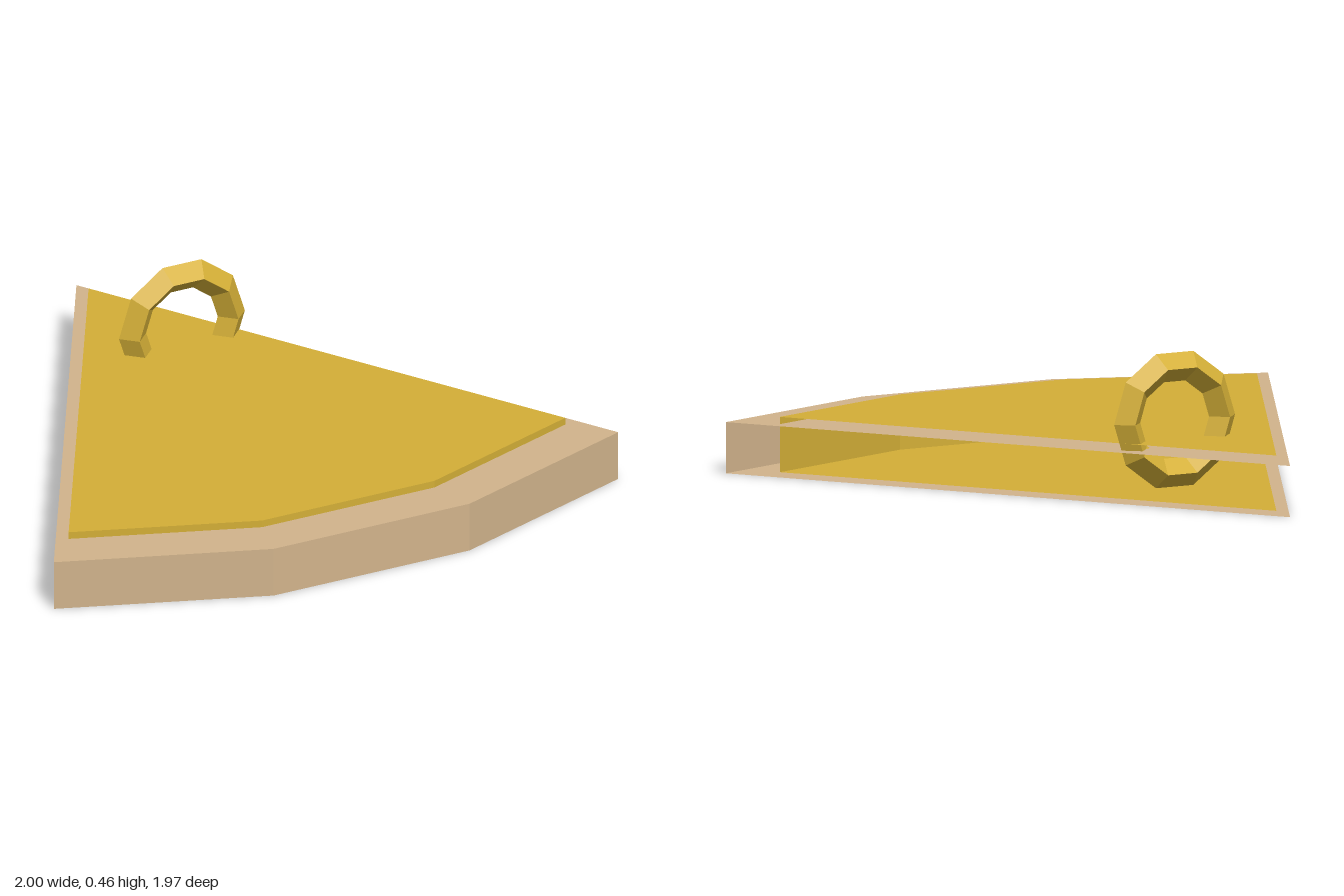
import * as THREE from 'three';

const tan = new THREE.MeshStandardMaterial({ color: 0xd2b48c, flatShading: true, side: THREE.DoubleSide });
tan.name = 'crust tan';
const gold = new THREE.MeshStandardMaterial({ color: 0xd4af37, flatShading: true, side: THREE.DoubleSide });
gold.name = 'filling gold';

// Sixty-degree slice of a low-poly drum: curved wall and two caps, cut sides left open
function wedge(name, radius, bottom, top, tipZ, material) {
  const geometry = new THREE.CylinderGeometry(radius, radius, top - bottom, 3, 1, false, -Math.PI / 6, Math.PI / 3);
  const mesh = new THREE.Mesh(geometry, material);
  mesh.name = name;
  mesh.position.set(0, (top + bottom) / 2, tipZ);
  return mesh;
}

export function createModel() {
  const group = new THREE.Group();
  group.name = 'slice';

  // Outer crust, with a smaller filling that stands slightly proud of it
  group.add(wedge('crust', 2, 0, 0.162, -0.985, tan));
  group.add(wedge('filling', 1.76, 0.01, 0.185, -0.904, gold));

  // Upright ring sunk part-way into the top
  const ring = new THREE.Mesh(new THREE.TorusGeometry(0.175, 0.048, 4, 10), gold);
  ring.name = 'toppingRing';
  ring.position.set(0.077, 0.245, -0.426);
  group.add(ring);

  return group;
}
